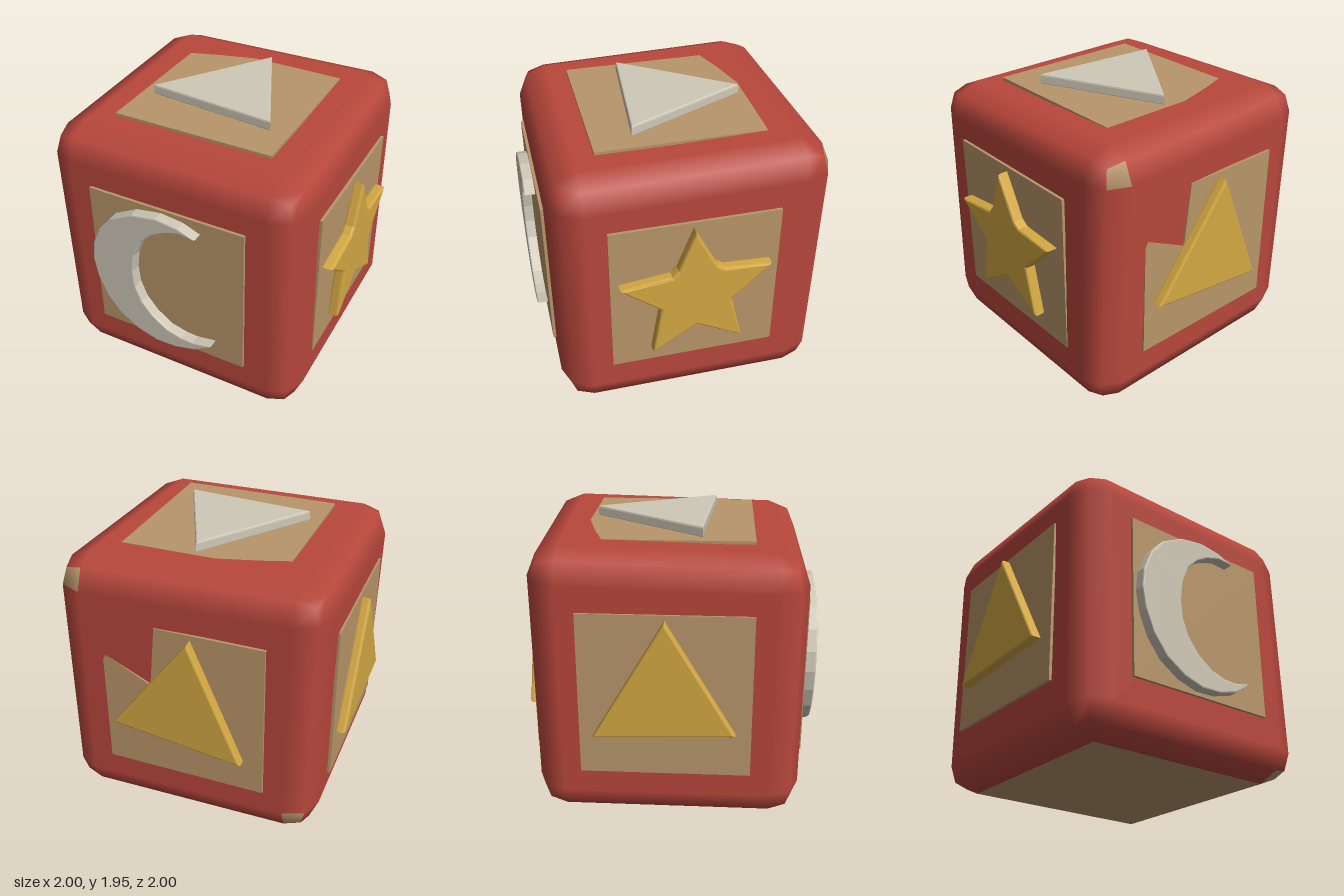
import * as THREE from 'three';
import { RoundedBoxGeometry } from 'three/addons/geometries/RoundedBoxGeometry.js';

const mat = (name, color) => {
  const m = new THREE.MeshStandardMaterial({ color });
  m.name = name;
  return m;
};

// Slightly crooked block with two-step bevels, bare wood below and on chipped corners
function makeBody(red, wood) {
  const geo = new RoundedBoxGeometry(1.824, 1.868, 1.81, 1, 0.205);
  const p = geo.attributes.position;
  const perSide = p.count / 6;
  const centre = new THREE.Vector3(), v = new THREE.Vector3();

  geo.clearGroups();
  for (let i = 0; i < p.count; i += 3) {
    centre.set(0, 0, 0);
    for (let k = 0; k < 3; k++) centre.add(v.fromBufferAttribute(p, i + k));
    const { x, y, z } = centre.divideScalar(3);
    const side = Math.floor(i / perSide);
    const bottom = side === 3 && Math.abs(x) < 0.6 && Math.abs(z) < 0.6;
    const chip = (side === 3 && x > 0.7 && z > 0.7)
      || (side === 5 && x > 0.7 && y > 0.7)
      || (side === 5 && x < -0.7 && y < -0.7);
    geo.addGroup(i, 3, bottom || chip ? 1 : 0);
  }

  // Shift each corner a little
  for (let i = 0; i < p.count; i++) {
    v.fromBufferAttribute(p, i);
    const sx = Math.sign(v.x), sy = Math.sign(v.y), sz = Math.sign(v.z);
    v.x -= 0.012 * sy;
    if (sy > 0) v.y -= 0.017 * sz + 0.004 * sx;
    if (sz < 0) v.z += sx < 0 ? 0.012 : sy > 0 ? -0.04 : -0.01;
    p.setXYZ(i, v.x, v.y + 0.934, v.z);
  }
  const body = new THREE.Mesh(geo, [red, wood]);
  body.name = 'body';
  return body;
}

// Extrude an outline between two distances along z, with an optional bevel
function slab(name, points, from, to, bevel, material) {
  const shape = new THREE.Shape(points.map(([x, y]) => new THREE.Vector2(x, y)));
  const geo = new THREE.ExtrudeGeometry(shape, {
    depth: to - from - 2 * bevel,
    bevelEnabled: bevel > 0,
    bevelThickness: bevel,
    bevelSize: bevel,
    bevelOffset: -bevel,
    bevelSegments: 2,
  });
  geo.translate(0, 0, from + bevel);
  const mesh = new THREE.Mesh(geo, material);
  mesh.name = name;
  return mesh;
}

export function createModel() {
  const red = mat('red paint', 0xb8473c);
  const wood = mat('bare wood', 0xb8966a);
  const gold = mat('gold', 0xd4a843);
  const silver = mat('silver', 0xcfc8b8);

  const model = new THREE.Group();
  model.name = 'toyBlock';
  model.add(makeBody(red, wood));

  // Outlines as seen from outside each face
  const a = 0.565, lo = 0.38, hi = 1.51;
  const square = [[-a, lo], [a, lo], [a, hi], [-a, hi]];
  const notched = [[-a, lo], [a, lo], [a, hi], [-0.18, hi], [-0.225, 1.065], [-a, 1.24]];
  const topPlate = [[-a, -a], [a, -a], [a, a], [-0.15, 0.57], [-a, 0.43]];

  const moon = [
    [0.26, 1.42], [0.14, 1.47], [-0.02, 1.49], [-0.2, 1.46], [-0.37, 1.37], [-0.47, 1.25],
    [-0.53, 1.11], [-0.545, 0.97], [-0.52, 0.82], [-0.46, 0.67], [-0.36, 0.54], [-0.22, 0.45],
    [-0.07, 0.405], [0.08, 0.41], [0.23, 0.45], [0.36, 0.54],
    [0.22, 0.515], [0.13, 0.52], [0.02, 0.55], [-0.09, 0.63], [-0.17, 0.73], [-0.215, 0.85],
    [-0.225, 0.98], [-0.205, 1.12], [-0.15, 1.25], [-0.06, 1.34], [0.03, 1.39], [0.14, 1.425],
  ];
  const star = [
    [-0.02, 1.48], [-0.13, 1.19], [-0.17, 1.145], [-0.51, 1.1], [-0.245, 0.88], [-0.3, 0.51],
    [0, 0.7], [0.32, 0.53], [0.24, 0.88], [0.5, 1.135], [0.18, 1.155], [0.13, 1.19],
  ];
  const backTriangle = [[0.07, 1.48], [-0.49, 0.74], [0.43, 0.62]];
  const sideTriangle = [[0, 1.48], [-0.47, 0.67], [0.46, 0.7]];
  const topTriangle = [[0.05, 0.53], [-0.48, -0.22], [0.43, -0.3]];

  // name, turn about x, turn about y, plate, plate front, emblem, emblem front, bevel, colour
  const H = Math.PI / 2;
  const faces = [
    ['moon', 0, 0, square, 0.928, moon, 1, 0.01, silver],
    ['star', 0, H, square, 0.926, star, 1, 0.018, gold],
    ['backTriangle', 0, 2 * H, notched, 0.93, backTriangle, 1, 0.018, gold],
    ['sideTriangle', 0, -H, square, 0.935, sideTriangle, 1, 0.018, gold],
    ['topTriangle', -H, 0, topPlate, 1.882, topTriangle, 1.95, 0.014, silver],
  ];
  for (const [name, rx, ry, plate, plateZ, emblem, emblemZ, bevel, colour] of faces) {
    const face = new THREE.Group();
    face.name = name + 'Face';
    face.rotation.set(rx, ry, 0);
    face.add(slab(name + 'Plate', plate, plateZ - 0.02, plateZ, 0, wood));
    face.add(slab(name, emblem, plateZ - 0.01, emblemZ, bevel, colour));
    model.add(face);
  }
  return model;
}
